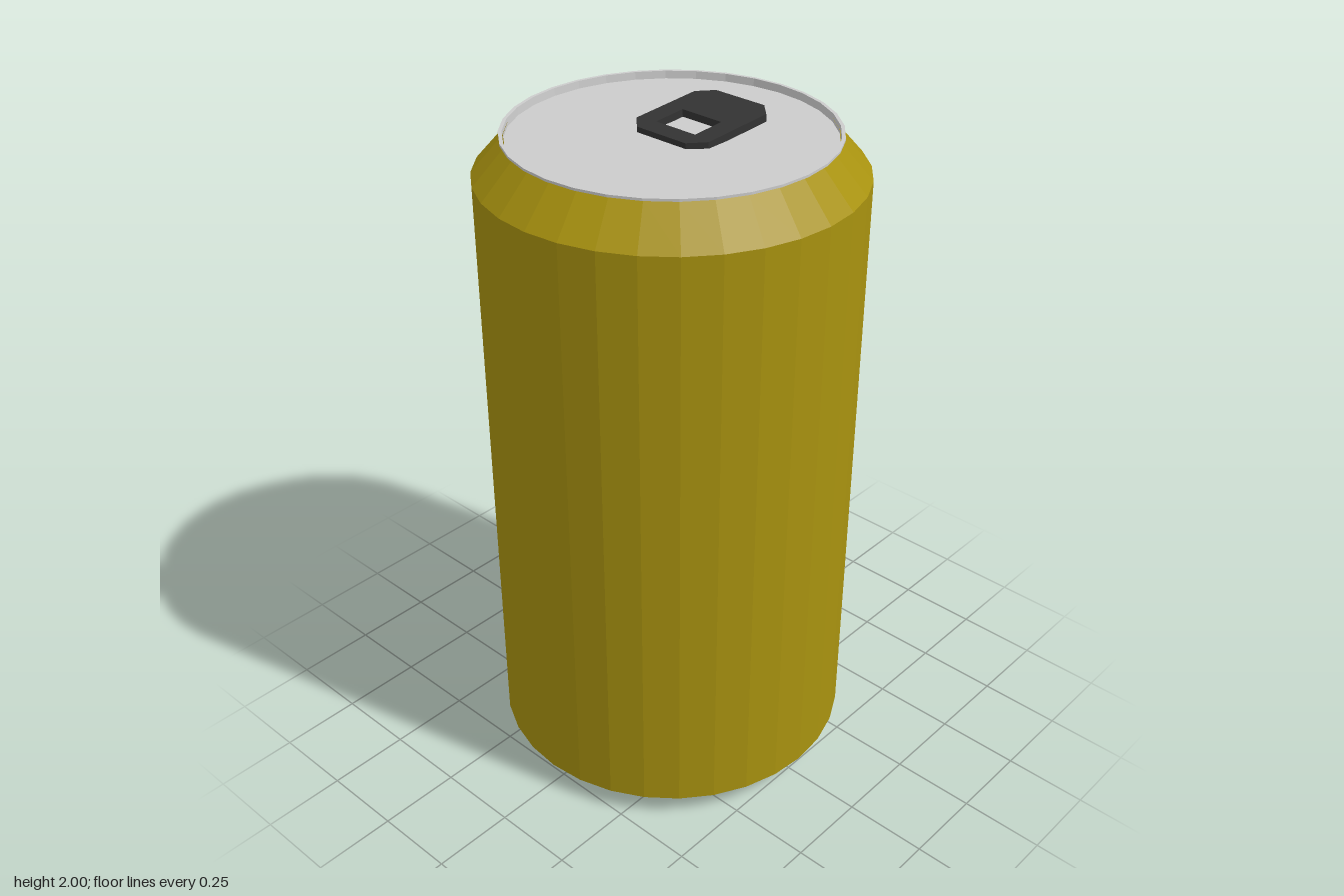
import * as THREE from 'three';

const SIDES = 32;

function material(color) {
  return new THREE.MeshStandardMaterial({ color, flatShading: true });
}

// Faceted solid of revolution; the profile runs from the bottom up
function turned(name, profile, mat) {
  const points = profile.map(([r, y]) => new THREE.Vector2(r, y));
  const mesh = new THREE.Mesh(new THREE.LatheGeometry(points, SIDES), mat);
  mesh.name = name;
  return mesh;
}

// Chamfered plate with a square finger hole, lying flat and tilted up at the back
function pullTab(mat) {
  const w = 0.13, h = 0.16, c = 0.043, thickness = 0.022;
  const outline = [
    [w - c, -h], [w, -h + c], [w, h - c], [w - c, h],
    [-w + c, h], [-w, h - c], [-w, -h + c], [-w + c, -h],
  ];
  const shape = new THREE.Shape(outline.map(([x, y]) => new THREE.Vector2(x, y)));
  const hole = [[-0.07, -0.103], [-0.07, 0.002], [0.07, 0.002], [0.07, -0.103]];
  shape.holes.push(new THREE.Path(hole.map(([x, y]) => new THREE.Vector2(x, y))));
  const geometry = new THREE.ExtrudeGeometry(shape, { depth: thickness, bevelEnabled: false });
  geometry.rotateX(-Math.PI / 2);
  const mesh = new THREE.Mesh(geometry, mat);
  mesh.name = 'pullTab';
  mesh.rotation.x = 0.05;
  mesh.position.set(0, 1.97, -0.118);
  return mesh;
}

export function createModel() {
  const can = new THREE.Group();
  can.name = 'drinkCan';
  const metal = material(0xcccccc);
  const paint = material(0xa8920f);
  const dark = material(0x333333);

  // Base with recessed underside, standing ring and chamfer
  can.add(turned('base', [[0, 0.07], [0.43, 0.07], [0.435, 0], [0.455, 0], [0.54, 0.068]], metal));
  // Painted wall and sloping shoulder
  can.add(turned('body', [[0.54, 0.068], [0.54, 1.875], [0.447, 1.98]], paint));
  // Thin rim around the sunken lid
  can.add(turned('lid', [[0.447, 1.98], [0.46, 1.983], [0.46, 1.99], [0.45, 1.99], [0.448, 1.968], [0, 1.968]], metal));
  can.add(pullTab(dark));
  return can;
}
